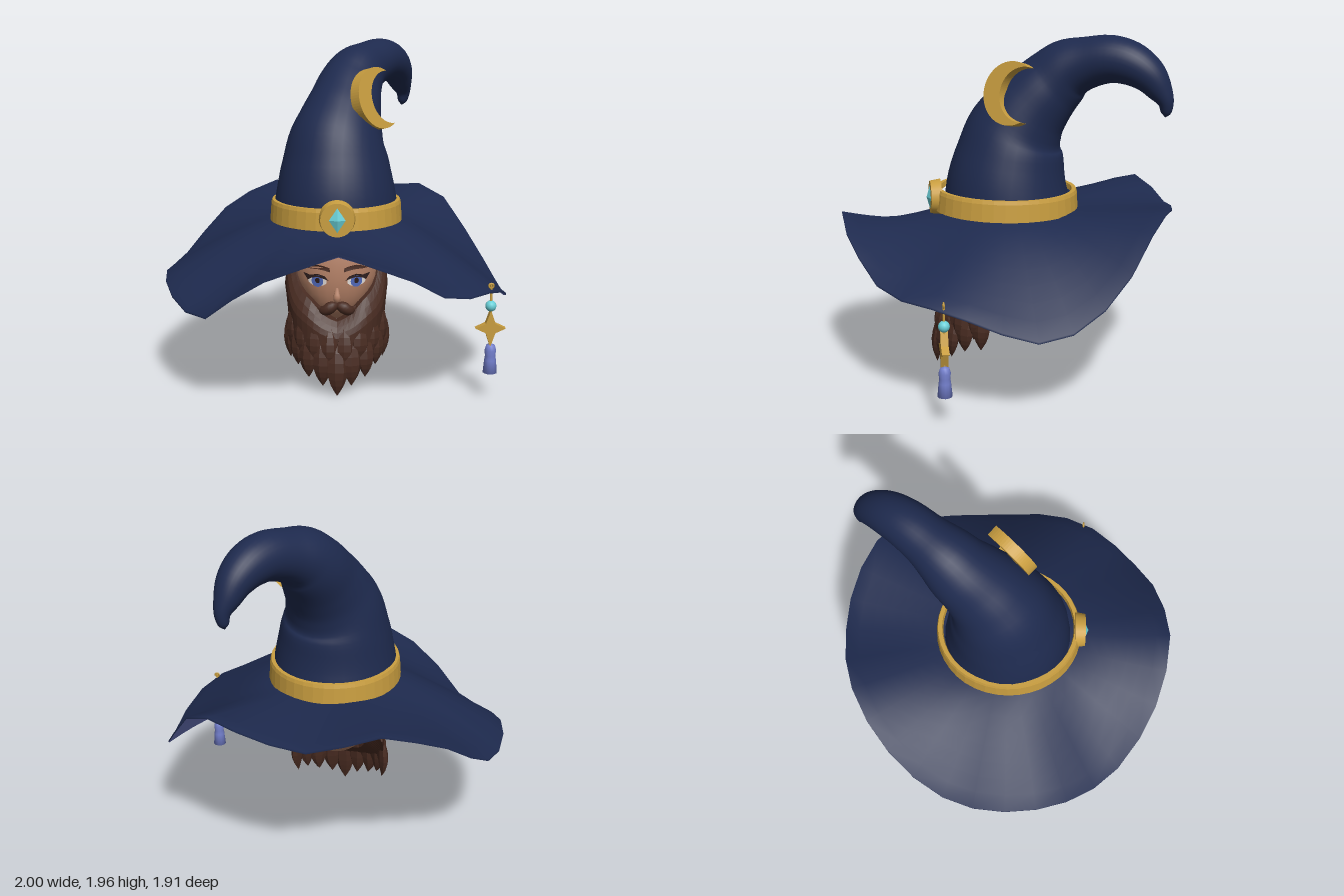
import * as THREE from 'three';

const mat = (name, color) => Object.assign(new THREE.MeshStandardMaterial({ color }), { name });
const V = (x, y, z) => new THREE.Vector3(x, y, z);

// Indexed grid from a point rule; flip reverses the facing, closed joins the last column to the first
function grid(rows, cols, closed, point, flip = false) {
  const pos = [], idx = [], w = closed ? cols : cols + 1;
  for (let i = 0; i <= rows; i++) for (let j = 0; j < w; j++) pos.push(...point(i, j));
  for (let i = 0; i < rows; i++) for (let j = 0; j < cols; j++) {
    const k = (j + 1) % w, a = i * w + j, b = i * w + k, c = a + w, d = b + w;
    flip ? idx.push(a, c, b, b, c, d) : idx.push(a, b, c, b, d, c);
  }
  const g = new THREE.BufferGeometry();
  g.setAttribute('position', new THREE.Float32BufferAttribute(pos, 3));
  g.setIndex(idx);
  g.computeVertexNormals();
  return g;
}

// Tapered tube: rows of [x, y, z, radius], smoothed along the path
function loft(rows, side, steps, sides, flat = 1) {
  const path = new THREE.CatmullRomCurve3(rows.map(r => V(r[0], r[1], r[2])));
  const rad = new THREE.CatmullRomCurve3(rows.map((r, i) => V(i, r[3], 0)));
  return grid(steps, sides, true, (i, j) => {
    const t = i / steps, c = path.getPoint(t), d = path.getTangent(t);
    const u = side.clone().addScaledVector(d, -side.dot(d)).normalize();
    const v = d.clone().cross(u), r = Math.max(0.001, rad.getPoint(t).y), a = j / sides * Math.PI * 2;
    return c.addScaledVector(u, r * Math.cos(a)).addScaledVector(v, r * flat * Math.sin(a)).toArray();
  });
}

function faceted(g) {
  const f = g.toNonIndexed();
  f.computeVertexNormals();
  return f;
}

// Head rule: straight-sided brow, narrow chin and a jaw that rises to the back
const bend = v => Math.sign(v) * Math.abs(v) ** 0.85;
function headPoint(phi, a) {
  const c = Math.cos(phi), low = Math.max(0, -c), s = Math.sin(phi) ** (c > 0 ? 0.5 : 1);
  const z = 0.05 + 0.3 * s * bend(Math.cos(a));
  return [0.247 * s * bend(Math.sin(a)) * (1 - 0.25 * low), 0.66 + (c > 0 ? 0.34 : 0.3) * c + 0.35 * (0.2 - z) * low, z];
}
function faceZ(x, y) {
  const c = (y - 0.66) / (y < 0.66 ? 0.3455 : 0.34), s = (1 - c * c) ** (c > 0 ? 0.25 : 0.5);
  const sa = Math.min(1, Math.abs(x) / (0.247 * s * (1 - 0.25 * Math.max(0, -c)))) ** (1 / 0.85);
  return 0.05 + 0.3 * s * Math.sqrt(1 - sa * sa) ** 0.85;
}

export function createModel() {
  const model = new THREE.Group();
  const navy = mat('hat navy', 0x1e2a4e), lilac = mat('lining lilac', 0x727ecb), gold = mat('gold', 0xc99e40);
  const teal = mat('teal gem', 0x6ad0d8), skin = mat('skin', 0xb27f65), brown = mat('beard brown', 0x482b21);
  const dark = mat('lash dark', 0x2b1c1c), white = mat('eye white', 0xe0dad6), blue = mat('iris blue', 0x5068b8);
  brown.side = THREE.DoubleSide;
  const add = (name, g, m, parent = model, x = 0, y = 0, z = 0) => {
    const mesh = new THREE.Mesh(g, m);
    mesh.name = name;
    mesh.position.set(x, y, z);
    parent.add(mesh);
    return mesh;
  };

  // Wavy brim: rim heights every 11.25 degrees, from the front round by the left
  const rim = [0.965, 0.89, 0.81, 0.70, 0.66, 0.65, 0.61, 0.545, 0.49, 0.52, 0.62, 0.77, 0.95, 1.02, 1.0, 0.97,
    0.945, 0.99, 1.03, 0.97, 0.885, 0.76, 0.66, 0.63, 0.64, 0.63, 0.59, 0.55, 0.555, 0.69, 0.81, 0.89];
  const brim = (r, j, under) => {
    const a = j / 32 * Math.PI * 2, s = Math.max(0, (r - 0.33) / 0.67);
    const y = 0.955 + (rim[j] - 0.955) * s ** 1.35 - 0.04 * Math.sin(Math.PI * s) * Math.max(0, Math.cos(a));
    return [r * Math.sin(a), y - under * (0.012 + 0.055 * (1 - s)), 0.957 * r * Math.cos(a)];
  };
  add('brimTop', grid(9, 32, true, (i, j) => brim(Math.min(1, 0.33 + 0.67 * i / 8), j, i > 8 ? 1 : 0), true), navy);
  add('brimLining', grid(10, 32, true, (i, j) => brim(i < 2 ? 0.05 + 0.28 * i : 0.33 + 0.67 * (i - 1) / 9, j, 1)), lilac);

  // Bent pointed crown
  add('crown', loft([
    [0, 0.95, 0, 0.37], [-0.002, 1.1, 0, 0.35], [-0.002, 1.25, -0.018, 0.32], [0.003, 1.385, -0.045, 0.286],
    [0.027, 1.5, -0.1, 0.248], [0.055, 1.6, -0.172, 0.218], [0.085, 1.695, -0.255, 0.194],
    [0.13, 1.77, -0.33, 0.172], [0.2, 1.815, -0.43, 0.144], [0.28, 1.84, -0.54, 0.132],
    [0.345, 1.82, -0.635, 0.12], [0.395, 1.765, -0.715, 0.1], [0.425, 1.69, -0.77, 0.074],
    [0.445, 1.62, -0.805, 0.045], [0.44, 1.56, -0.81, 0.028], [0.435, 1.535, -0.808, 0.002],
  ], V(0.88, 0, 0.47), 60, 32), navy);

  // Hat band
  const band = add('hatBand', faceted(new THREE.LatheGeometry([[0.34, -0.06], [0.385, -0.06], [0.378, 0.04],
    [0.372, 0.06], [0.35, 0.06], [0.345, 0.03]].map(p => new THREE.Vector2(...p)), 40)), gold, model, 0, 1.015, 0.005);
  band.scale.z = 1.1;
  band.rotation.x = -0.02;

  // Round buckle with a cut gem
  const buckle = new THREE.Group();
  buckle.name = 'buckle';
  buckle.position.set(0, 1.03, 0.42);
  model.add(buckle);
  add('buckleDisc', new THREE.CylinderGeometry(0.094, 0.104, 0.06, 28), gold, buckle).rotation.x = Math.PI / 2;
  add('buckleGem', new THREE.OctahedronGeometry(1), teal, buckle, 0, 0, 0.031).scale.set(0.046, 0.069, 0.02);

  // Crescent ornament leaning with the crown: outer arc, then back along the inner arc
  const moon = new THREE.Shape();
  const tip = Math.atan2(0.153, 0.09), tipIn = Math.atan2(0.153, 0.007);
  moon.absarc(0, 0, 0.178, tip, Math.PI * 2 - tip, false);
  moon.absarc(0.083, 0, 0.153, Math.PI * 2 - tipIn, tipIn, true);
  const moonGeo = new THREE.ExtrudeGeometry(moon, { depth: 0.065, bevelEnabled: false, curveSegments: 24 });
  moonGeo.translate(0, 0, -0.0325);
  add('crescent', moonGeo, gold, model, 0.23, 1.652, 0.002).rotation.set(-0.24, 0.8, 0, 'YXZ');

  // Hanging charm
  const charm = new THREE.Group();
  charm.name = 'charm';
  charm.position.set(0.85, 0, 0.47);
  model.add(charm);
  add('charmCord', new THREE.CylinderGeometry(0.007, 0.007, 0.36, 8), gold, charm, 0, 0.49);
  add('charmLoop', new THREE.TorusGeometry(0.013, 0.005, 6, 12), gold, charm, 0, 0.665);
  add('charmBead', new THREE.SphereGeometry(0.031, 16, 12), teal, charm, 0, 0.55);
  const star = new THREE.Shape();
  for (let i = 0; i < 8; i++) {
    const r = i % 2 ? 0.038 : i % 4 ? 0.105 : 0.084, a = i * Math.PI / 4;
    star[i ? 'lineTo' : 'moveTo'](r * Math.cos(a), r * Math.sin(a));
  }
  star.closePath();
  add('charmStar', new THREE.ExtrudeGeometry(star, { depth: 0.04, bevelEnabled: false }), gold, charm, 0, 0.425, -0.02);
  add('charmTassel', new THREE.LatheGeometry([[0, 0.165], [0.04, 0.165], [0.033, 0.24], [0.029, 0.265], [0.033, 0.295],
    [0.024, 0.325], [0, 0.332]].map(p => new THREE.Vector2(...p)), 12), lilac, charm, 0.004);

  // Head, ears and nose
  add('head', grid(24, 32, true, (i, j) => headPoint(Math.PI * (0.002 + 0.996 * i / 24), j / 32 * Math.PI * 2), true), skin);
  add('nose', loft([[0, 0.65, 0.33, 0.008], [0, 0.6, 0.343, 0.014], [0, 0.56, 0.356, 0.021], [0, 0.54, 0.33, 0.005]],
    V(1, 0, 0), 10, 10), skin);
  for (const s of [1, -1]) {
    add('ear', new THREE.SphereGeometry(1, 14, 10), skin, model, s * 0.245, 0.62, -0.01).scale.set(0.022, 0.07, 0.04);
  }

  // Painted face details that follow the curve of the face
  const decal = (name, pts, m, lift) => {
    const g = new THREE.ShapeGeometry(new THREE.Shape(pts.map(p => new THREE.Vector2(...p))));
    const p = g.attributes.position;
    for (let i = 0; i < p.count; i++) p.setZ(i, faceZ(p.getX(i), p.getY(i)) + lift);
    g.computeVertexNormals();
    add(name, g, m);
  };
  const oval = (x, y, rx, ry) => Array.from({ length: 20 }, (_, i) =>
    [x + rx * Math.cos(i * Math.PI / 10), y + ry * Math.sin(i * Math.PI / 10)]);
  for (const s of [1, -1]) {
    const side = pts => pts.map(([x, y]) => [s * x, y]);
    decal('eyeWhite', oval(s * 0.11, 0.658, 0.052, 0.027), white, 0.005);
    decal('iris', oval(s * 0.11, 0.66, 0.033, 0.034), blue, 0.008);
    decal('pupil', oval(s * 0.11, 0.664, 0.013, 0.016), dark, 0.01);
    decal('upperLash', side([[0.045, 0.665], [0.07, 0.692], [0.11, 0.703], [0.15, 0.692], [0.19, 0.698],
      [0.165, 0.662], [0.145, 0.676], [0.11, 0.685], [0.075, 0.677]]), dark, 0.012);
    decal('eyebrow', side([[0.038, 0.714], [0.042, 0.738], [0.075, 0.748], [0.11, 0.753], [0.145, 0.744], [0.178, 0.728],
      [0.145, 0.727], [0.11, 0.729], [0.075, 0.724]]), brown, 0.009);
    // Half of the moustache
    add('moustache', loft([[s * -0.01, 0.52, 0.33, 0.012], [s * 0.03, 0.51, 0.343, 0.032], [s * 0.065, 0.49, 0.338, 0.031],
      [s * 0.09, 0.492, 0.322, 0.02], [s * 0.11, 0.51, 0.315, 0.001]], V(0, 0, 1), 14, 10), brown);
  }

  // Beard shell wrapping the jaw, with pointed sideburns; first and last rows tuck in under the chin
  const edge = new THREE.CatmullRomCurve3([[0, 0.425], [0.22, 0.46], [0.55, 0.54], [0.9, 0.6], [1.1, 0.67], [1.3, 0.78],
    [1.45, 0.7], [1.6, 0.6]].map(p => V(p[0], p[1], 0)));
  add('beardShell', faceted(grid(10, 36, false, (i, j) => {
    const p = edge.getPoint(Math.abs(j - 18) / 18), t = Math.min(1, Math.max(0, (i - 1) / 8)), a = p.x, s = Math.sign(j - 18);
    const bulge = Math.sin(Math.min(1, t * 2.5) * Math.PI / 2), bottom = 0.2 + 0.04 * a * a + 0.03 * a ** 4;
    const tuck = i === 0 ? 0.78 : i === 10 ? 0.6 : 1, lift = i === 10 ? 0.12 : 0;
    const x = (0.258 + 0.055 * bulge - 0.03 * t) * bend(Math.sin(a));
    const z = (0.3 + 0.05 * bulge + 0.015 * t) * bend(Math.cos(a));
    return [s * x * tuck, p.y + (bottom - p.y) * t + lift, 0.05 + z * tuck];
  }, true)), brown);

  // Beard locks: angle from the front, root height, tip height, width
  const locks = [
    [0, 0.36, 0.012, 0.06], [0.28, 0.37, 0.065, 0.056], [0.58, 0.38, 0.1, 0.055], [0.86, 0.42, 0.15, 0.052],
    [1.15, 0.47, 0.17, 0.05], [0.15, 0.42, 0.165, 0.05], [0.45, 0.45, 0.19, 0.052], [0.74, 0.48, 0.21, 0.052],
    [1.02, 0.53, 0.23, 0.05],
  ];
  for (const [a, y0, y1, w] of locks) for (const s of a ? [1, -1] : [1]) {
    const at = (t, r, k) => {
      const y = y0 + (y1 - y0) * t;
      return [s * 0.3 * k * Math.sin(a), y, 0.05 + (0.385 - 0.1 * y) * k * Math.cos(a), r];
    };
    add('beardLock', faceted(loft([at(0, 0.004, 0.92), at(0.3, w * 0.8, 0.98), at(0.6, w, 1), at(0.82, w * 0.65, 0.99),
      at(1, 0.001, 0.97)], V(Math.cos(a), 0, -s * Math.sin(a)), 8, 7, 0.6)), brown);
  }
  return model;
}
